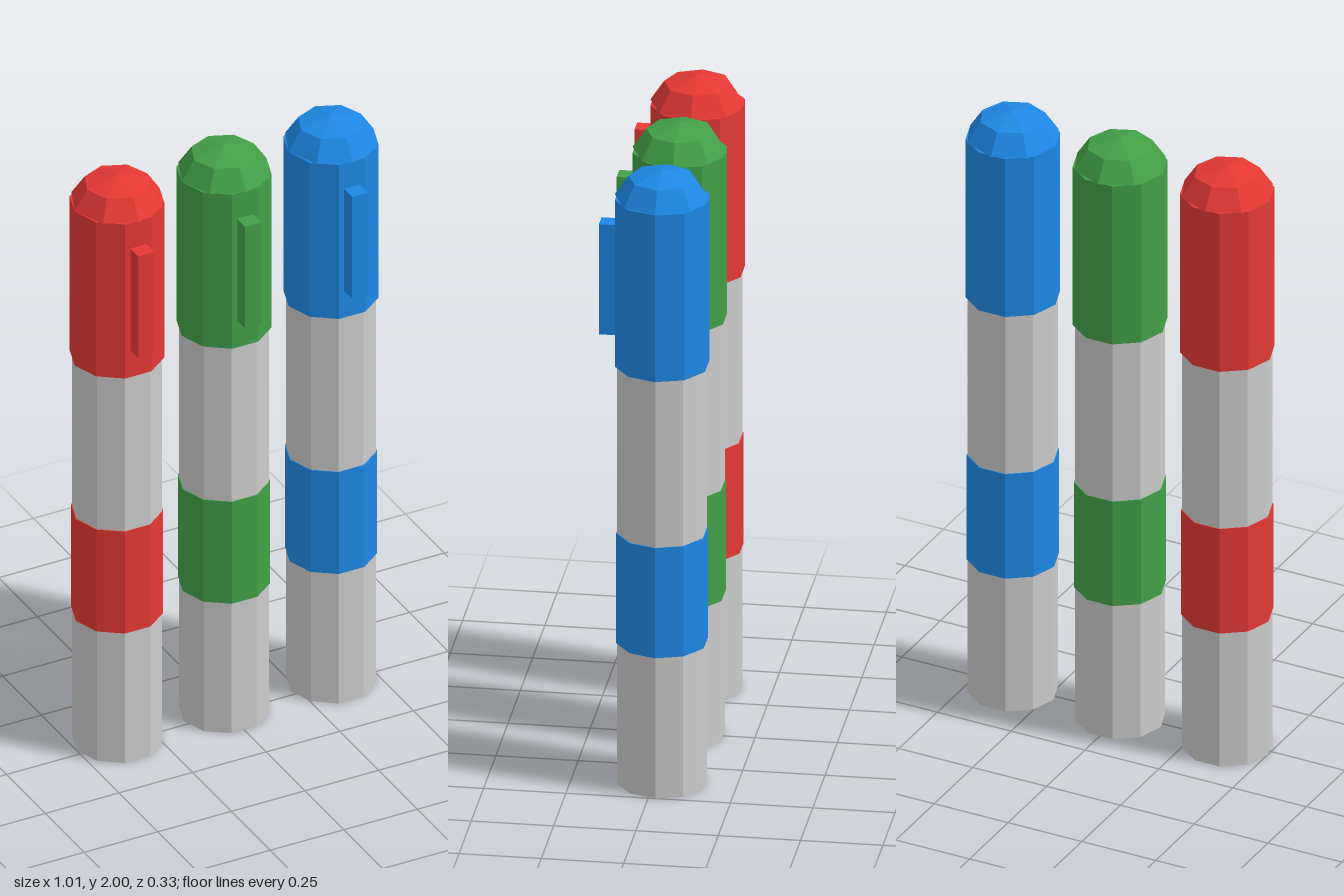
import * as THREE from 'three';

const SIDES = 10;
const BODY_R = 0.137, BAND_R = 0.14, CAP_R = 0.144;
const CAP_BOTTOM = 1.365, CAP_TOP = 1.91, TOP = 2;

const material = (color) => new THREE.MeshStandardMaterial({ color, flatShading: true });

function addMesh(parent, name, geometry, mat) {
  const mesh = new THREE.Mesh(geometry, mat);
  mesh.name = name;
  parent.add(mesh);
  return mesh;
}

// Upright ten-sided prism between two heights, with a flat face to the front
function prism(radius, y0, y1) {
  return new THREE.CylinderGeometry(radius, radius, y1 - y0, SIDES)
    .rotateY(Math.PI / SIDES)
    .translate(0, (y0 + y1) / 2, 0);
}

function createPen(name, color) {
  const pen = new THREE.Group();
  pen.name = name;
  const grey = material(0xcccccc);
  const ink = material(color);

  addMesh(pen, 'barrel', prism(BODY_R, 0, CAP_BOTTOM + 0.05), grey);
  addMesh(pen, 'band', prism(BAND_R, 0.46, 0.82), ink);
  addMesh(pen, 'cap', prism(CAP_R, CAP_BOTTOM, CAP_TOP), ink);

  // Flattened eight-sided dome on the cap
  const dome = new THREE.SphereGeometry(CAP_R, 8, 2, 0, Math.PI * 2, 0, Math.PI / 2)
    .scale(1, (TOP - CAP_TOP) / CAP_R, 1)
    .translate(0, CAP_TOP, 0);
  addMesh(pen, 'capDome', dome, ink);

  // Pocket clip on the front face
  const clip = new THREE.BoxGeometry(0.054, 0.36, 0.072).translate(0, 1.64, 0.152);
  addMesh(pen, 'clip', clip, ink);
  return pen;
}

export function createModel() {
  const model = new THREE.Group();
  model.name = 'markerPens';
  const pens = [['redPen', 0xe53935], ['greenPen', 0x43a047], ['bluePen', 0x1e88e5]];
  pens.forEach(([name, color], i) => {
    const pen = createPen(name, color);
    pen.position.set((i - 1) * 0.363, 0, -0.022);
    model.add(pen);
  });
  return model;
}
